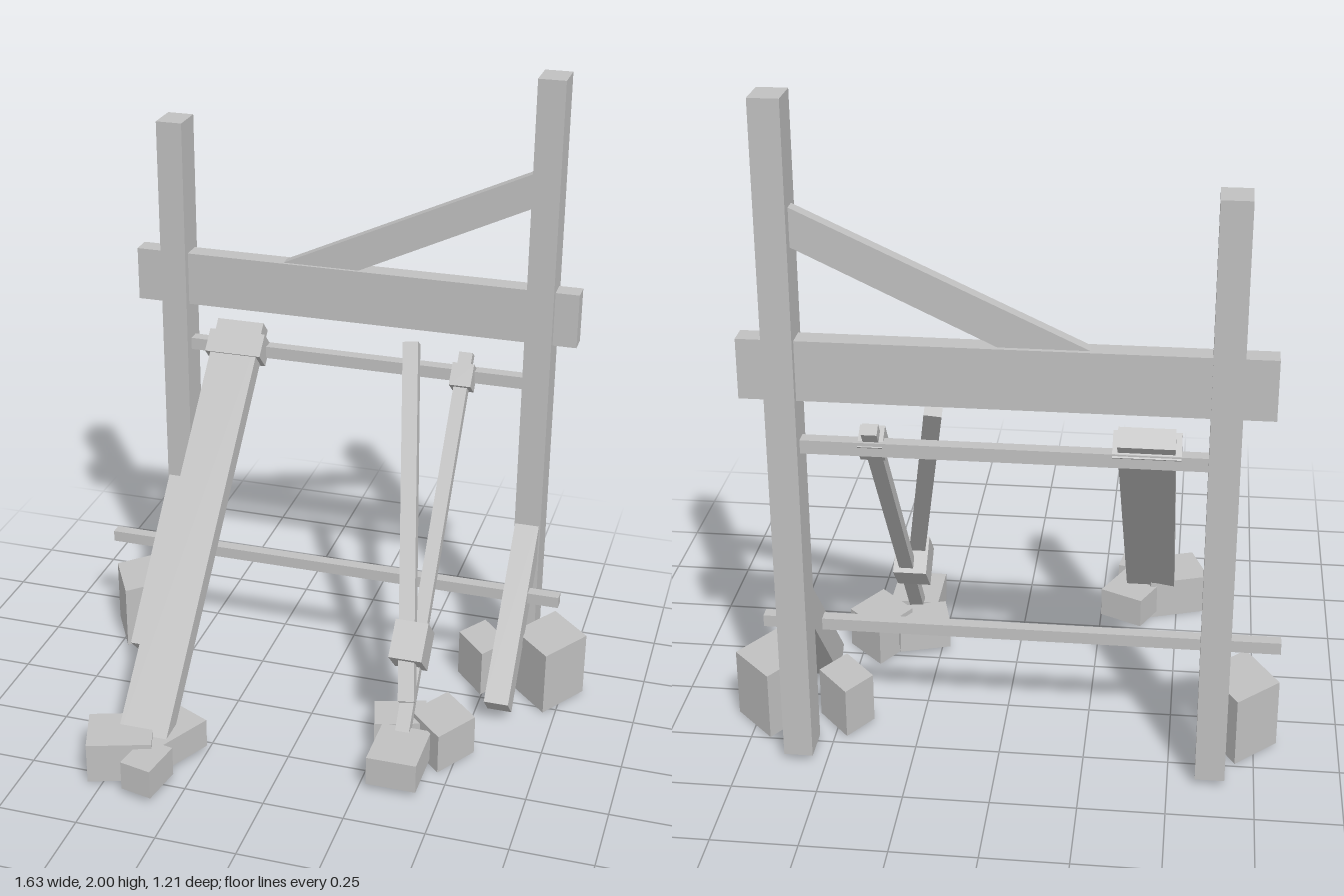
import * as THREE from 'three';

export function createModel() {
  const model = new THREE.Group();
  const grey = new THREE.MeshStandardMaterial({ color: 0xc0c0c0 });
  grey.name = 'plain grey';

  function add(name, geometry) {
    const mesh = new THREE.Mesh(geometry, grey);
    mesh.name = name;
    model.add(mesh);
    return mesh;
  }

  // Axis-aligned timber given by its limits
  function timber(name, x0, x1, y0, y1, z0, z1) {
    add(name, new THREE.BoxGeometry(x1 - x0, y1 - y0, z1 - z0))
      .position.set((x0 + x1) / 2, (y0 + y1) / 2, (z0 + z1) / 2);
  }

  // Timber of width w and thickness t running between two points
  function strut(name, from, to, w, t) {
    const a = new THREE.Vector3(...from), b = new THREE.Vector3(...to);
    const y = b.clone().sub(a).normalize();
    const x = new THREE.Vector3(1, 0, 0).addScaledVector(y, -y.x).normalize();
    const z = x.clone().cross(y);
    const mesh = add(name, new THREE.BoxGeometry(w, a.distanceTo(b), t));
    mesh.quaternion.setFromRotationMatrix(new THREE.Matrix4().makeBasis(x, y, z));
    mesh.position.copy(a).add(b).multiplyScalar(0.5);
  }

  function prism(points, depth) {
    const shape = new THREE.Shape(points.map(p => new THREE.Vector2(...p)));
    return new THREE.ExtrudeGeometry(shape, { depth, bevelEnabled: false });
  }

  // Footing block: three plan corners [x, z] in order, the fourth completes it
  function footing(name, y0, y1, a, b, c) {
    const d = [a[0] + c[0] - b[0], a[1] + c[1] - b[1]];
    const geometry = prism([a, b, c, d].map(([x, z]) => [x, -z]), y1 - y0);
    add(name, geometry.rotateX(-Math.PI / 2)).position.y = y0;
  }

  // Block turned about the x axis
  function tilted(name, w, h, d, x, y, z, angle) {
    const mesh = add(name, new THREE.BoxGeometry(w, h, d));
    mesh.position.set(x, y, z);
    mesh.rotation.x = angle;
  }

  // Upright frame
  timber('rightPost', -0.665, -0.58, 0.02, 1.77, -0.605, -0.495);
  timber('leftPost', 0.54, 0.625, 0.02, 2, -0.605, -0.495);
  timber('crossBeam', -0.755, 0.7, 1.155, 1.33, -0.584, -0.52);
  timber('upperRail', -0.6, 0.56, 0.99, 1.03, -0.57, -0.53);
  timber('lowerRail', -0.815, 0.72, 0.32, 0.357, -0.388, -0.35);

  // Diagonal brace above the beam
  add('diagonalBrace', prism([[-0.3, 1.31], [-0.05, 1.31], [0.56, 1.6], [0.56, 1.71]], 0.04))
    .position.z = -0.57;

  // Sloping braces in front of the posts
  for (const x of [-0.584, 0.62]) {
    const profile = [[-0.53, 0.565], [-0.095, 0.09], [-0.165, 0.02], [-0.53, 0.43]];
    add('postBrace', prism(profile, 0.078).rotateY(-Math.PI / 2)).position.x = x;
  }

  // Wide leaning plank and its collar
  strut('widePlank', [-0.412, 1.083, -0.57], [-0.412, 0.04, 0.46], 0.157, 0.06);
  tilted('plankCollar', 0.188, 0.08, 0.08, -0.413, 1.022, -0.517, -0.78);

  // Thin leaning strut and its collar
  strut('thinStrut', [0.344, 1.072, -0.57], [0.344, 0.04, 0.212], 0.044, 0.036);
  tilted('strutCollar', 0.07, 0.075, 0.07, 0.345, 1.01, -0.522, -0.65);

  // Slanting strut with its block
  strut('slantStrut', [0.176, 1.112, -0.51], [0.352, 0.21, 0.155], 0.05, 0.04);
  tilted('strutBlock', 0.104, 0.122, 0.122, 0.332, 0.337, 0.03, -0.77);

  // Footings beside the posts
  footing('rightPostFooting', 0.005, 0.217, [-0.72, -0.205], [-0.818, -0.375], [-0.695, -0.495]);
  footing('leftPostFooting', 0.005, 0.217, [0.69, -0.503], [0.815, -0.377], [0.713, -0.215]);
  footing('leftPostInnerFooting', 0.005, 0.16, [0.463, -0.473], [0.397, -0.373], [0.498, -0.259]);

  // Footings around the wide plank
  footing('plankOuterFooting', 0, 0.13, [-0.415, 0.325], [-0.603, 0.39], [-0.546, 0.553]);
  footing('plankInnerFooting', 0.02, 0.115, [-0.385, 0.23], [-0.252, 0.295], [-0.34, 0.475]);
  footing('plankFrontFooting', 0.02, 0.115, [-0.401, 0.443], [-0.3, 0.465], [-0.322, 0.602]);

  // Footings around the thin strut
  footing('strutFrontFooting', 0.02, 0.115, [0.275, 0.15], [0.43, 0.15], [0.43, 0.342]);
  footing('strutOuterFooting', 0, 0.13, [0.433, -0.057], [0.547, 0.057], [0.463, 0.195]);
  footing('strutInnerFooting', 0.02, 0.115, [0.375, -0.01], [0.22, 0.04], [0.252, 0.163]);

  return model;
}
